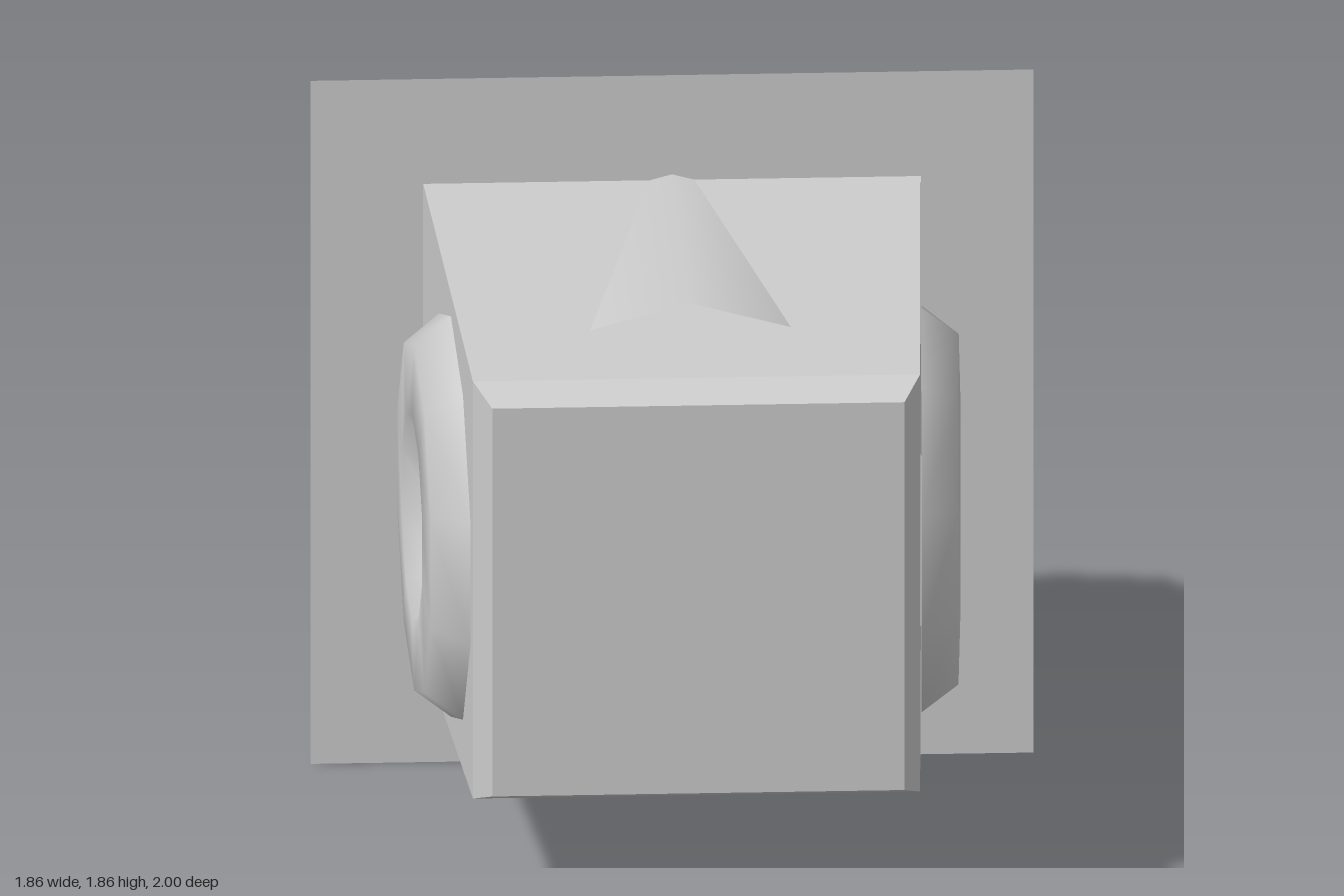
import * as THREE from 'three';

const CY = 0.935; // height of the common axis

function material(extra = {}) {
  return new THREE.MeshStandardMaterial({ color: 0xcccccc, side: THREE.DoubleSide, ...extra });
}

function addMesh(parent, name, geometry, mat) {
  const mesh = new THREE.Mesh(geometry, mat);
  mesh.name = name;
  parent.add(mesh);
  return mesh;
}

// Loft through rectangular sections [z, halfWidth, halfHeight], closed at the last one
function loftBox(sections) {
  const pos = [];
  const index = [];
  for (const [z, w, h] of sections) {
    pos.push(-w, -h, z, w, -h, z, w, h, z, -w, h, z);
  }
  for (let s = 0; s < sections.length - 1; s++) {
    for (let i = 0; i < 4; i++) {
      const a = s * 4 + i;
      const b = s * 4 + (i + 1) % 4;
      index.push(a, b, b + 4, a, b + 4, a + 4);
    }
  }
  const f = (sections.length - 1) * 4;
  index.push(f, f + 1, f + 2, f, f + 2, f + 3);
  const g = new THREE.BufferGeometry();
  g.setAttribute('position', new THREE.Float32BufferAttribute(pos, 3));
  g.setIndex(index);
  const flat = g.toNonIndexed();
  flat.computeVertexNormals();
  return flat;
}

export function createModel() {
  const group = new THREE.Group();
  group.name = 'housing';

  // Tapered body with a bevelled front, its rim just piercing the plate
  const body = addMesh(group, 'body', loftBox([
    [-0.435, 0.64, 0.64],
    [0.9, 0.575, 0.568],
    [1, 0.53, 0.528],
  ]), material({ flatShading: true }));
  body.position.y = CY;

  // Thin square mounting plate
  const plate = addMesh(group, 'mountingPlate', new THREE.PlaneGeometry(1.86, 1.86), material());
  plate.position.set(0, 0.93, -0.428);

  // Open twelve-sided tube running from the back into the body
  const tubeGeo = new THREE.CylinderGeometry(0.655, 0.655, 1.57, 12, 1, true);
  tubeGeo.rotateX(Math.PI / 2);
  const tube = addMesh(group, 'tube', tubeGeo, material());
  tube.position.set(0, CY, -0.215);

  // Ten-sided rings lying on the sloping side walls
  const profile = [[0.545, -0.005], [0.47, 0.09], [0.28, 0.095], [0.205, 0]]
    .map(([r, h]) => new THREE.Vector2(r, h));
  const ringGeo = new THREE.LatheGeometry(profile, 10, Math.PI / 2);
  ringGeo.rotateZ(-Math.PI / 2);
  for (const side of [1, -1]) {
    const mount = new THREE.Group();
    mount.name = side > 0 ? 'leftRing' : 'rightRing';
    mount.scale.x = side;
    const ring = addMesh(mount, 'ring', ringGeo, material());
    ring.position.set(0.61, 0.94, 0.345);
    ring.rotation.y = -0.049;
    group.add(mount);
  }

  return group;
}
